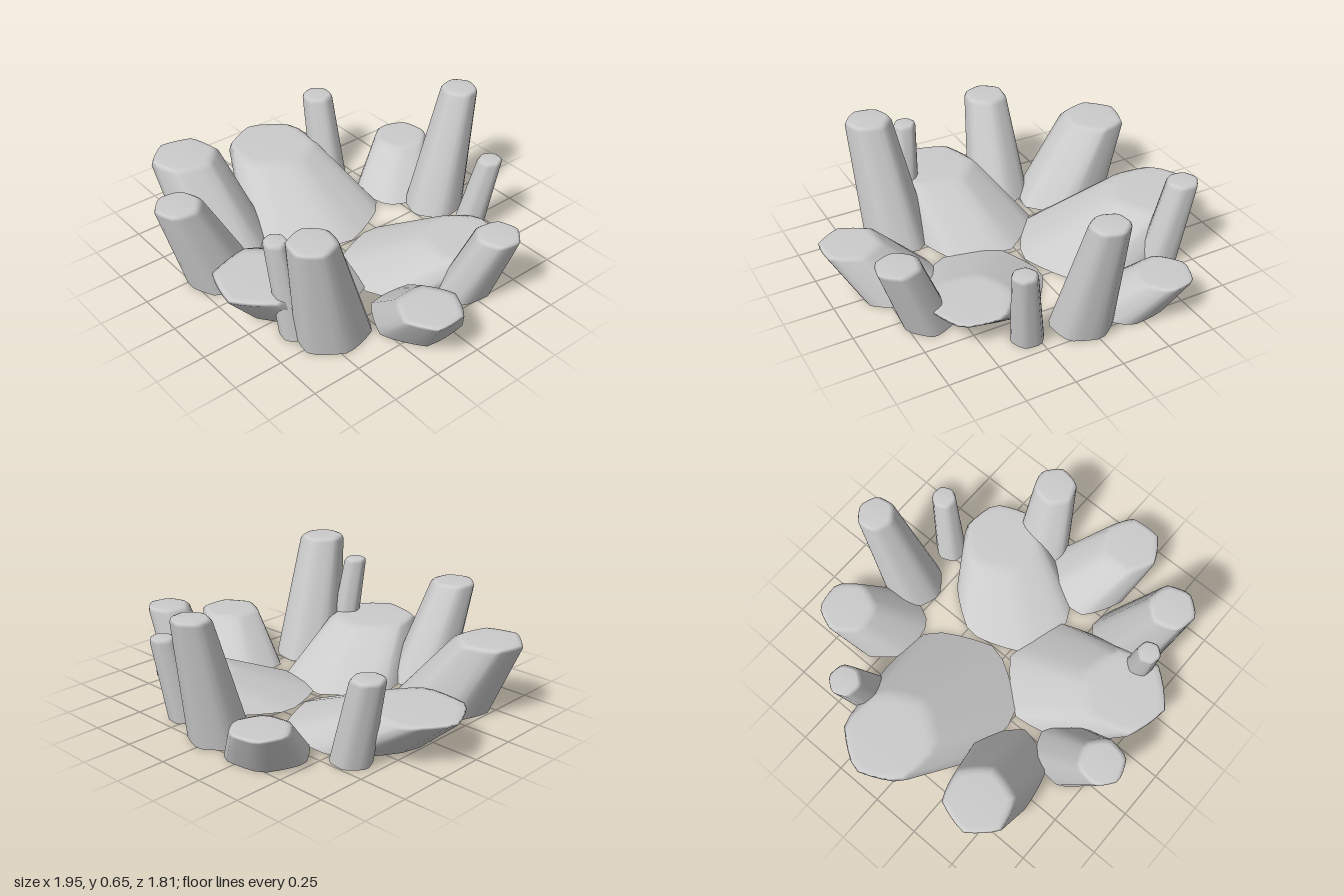
import * as THREE from 'three';

const SIDES = 24;

// Softened hexagon radius; a corner points along the given direction
function hexRadius(angle, direction) {
  const step = Math.PI / 3;
  const a = (((angle - direction) % step) + step) % step;
  return 0.3 + 0.7 * Math.cos(step / 2) / Math.cos(a - step / 2);
}

// Leaning crystal: base and tip are [x, z, radiusX, radiusZ]
function crystalGeometry(base, tip, height) {
  const lean = Math.atan2(tip[1] - base[1], tip[0] - base[0]);
  const bevel = Math.min(0.02, height * 0.06);
  const points = [], index = [];

  const addRing = (t, y, scale) => {
    const [x, z, rx, rz] = base.map((v, i) => v + (tip[i] - v) * t);
    for (let i = 0; i < SIDES; i++) {
      const a = (i / SIDES) * Math.PI * 2;
      const r = hexRadius(a, lean) * scale;
      points.push(x + Math.cos(a) * rx * r, y, z + Math.sin(a) * rz * r);
    }
  };

  // Side wall, bevelled rim, then a separate underside ring for a sharp edge
  addRing(0, 0, 1);
  addRing(1 - bevel / height, height - bevel, 1);
  addRing(1, height - bevel * 0.25, 0.92);
  addRing(1, height, 0.78);
  addRing(0, 0, 1);
  const topCentre = points.length / 3;
  points.push(tip[0], height, tip[1], base[0], 0, base[1]);

  for (let i = 0; i < SIDES; i++) {
    const j = (i + 1) % SIDES;
    for (let k = 0; k < 3; k++) {
      const a = k * SIDES + i, b = k * SIDES + j;
      index.push(a, a + SIDES, b, b, a + SIDES, b + SIDES);
    }
    index.push(topCentre, 3 * SIDES + j, 3 * SIDES + i);
    index.push(topCentre + 1, 4 * SIDES + i, 4 * SIDES + j);
  }

  const geometry = new THREE.BufferGeometry();
  geometry.setAttribute('position', new THREE.Float32BufferAttribute(points, 3));
  geometry.setIndex(index);
  geometry.computeVertexNormals();
  return geometry;
}

export function createModel() {
  const group = new THREE.Group();
  group.name = 'crystalCluster';
  const material = new THREE.MeshStandardMaterial({ color: 0xcccccc });

  const add = (name, base, tip, height) => {
    const mesh = new THREE.Mesh(crystalGeometry(base, tip, height), material);
    mesh.name = name;
    group.add(mesh);
  };

  // Broad low crystals spreading from the middle
  add('broadCrystalRight', [-0.37, -0.09, 0.38, 0.38], [-0.75, -0.12, 0.25, 0.24], 0.22);
  add('broadCrystalBack', [0.28, -0.18, 0.31, 0.33], [0.47, -0.42, 0.21, 0.21], 0.14);
  add('broadCrystalFront', [0.1, 0.34, 0.33, 0.33], [0.18, 0.63, 0.23, 0.23], 0.24);
  add('broadCrystalLeft', [0.64, 0.05, 0.23, 0.23], [0.84, 0.16, 0.16, 0.16], 0.235);
  add('broadCrystalBackRight', [-0.26, -0.6, 0.22, 0.21], [-0.38, -0.75, 0.15, 0.15], 0.21);

  // Medium crystals around the rim
  add('mediumCrystalFrontRight', [-0.49, 0.39, 0.26, 0.22], [-0.73, 0.45, 0.17, 0.18], 0.39);
  add('mediumCrystalFront', [-0.2, 0.59, 0.17, 0.19], [-0.235, 0.79, 0.12, 0.12], 0.495);
  add('mediumCrystalLeft', [0.64, -0.27, 0.13, 0.16], [0.785, -0.32, 0.115, 0.115], 0.39);

  // Tall crystals
  add('tallCrystalFrontLeft', [0.48, 0.43, 0.17, 0.2], [0.535, 0.59, 0.12, 0.12], 0.635);
  add('tallCrystalBack', [0.01, -0.65, 0.16, 0.16], [-0.015, -0.82, 0.1, 0.095], 0.65);

  // Slender crystals tucked between the others
  add('slenderCrystalFront', [0.37, 0.57, 0.08, 0.08], [0.32, 0.63, 0.06, 0.06], 0.535);
  add('slenderCrystalBackLeft', [0.29, -0.63, 0.085, 0.085], [0.345, -0.705, 0.065, 0.065], 0.43);
  add('slenderCrystalBackRight', [-0.6, -0.4, 0.11, 0.1], [-0.71, -0.415, 0.085, 0.085], 0.445);

  return group;
}
